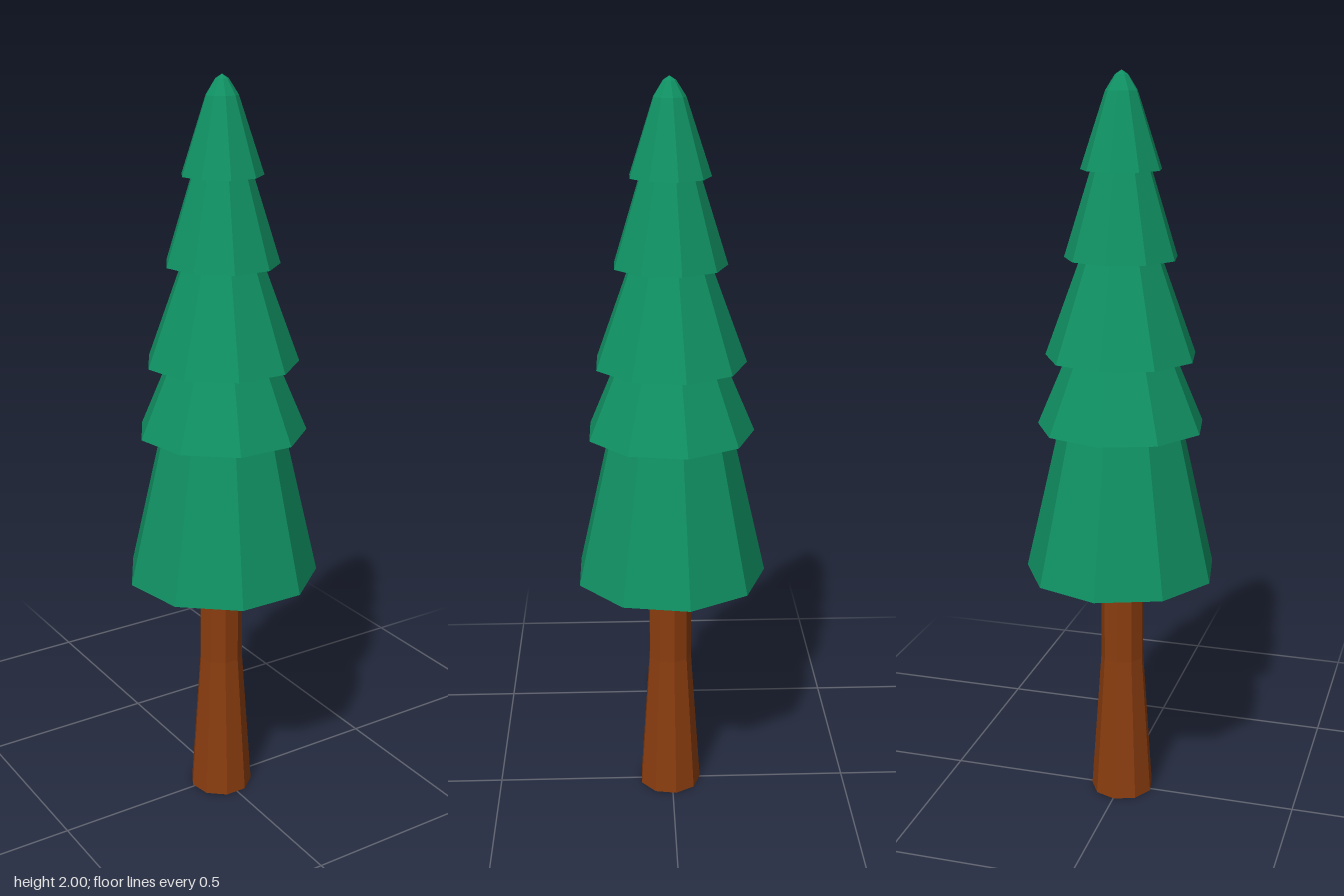
import * as THREE from 'three';

const SIDES = 9;

// Faceted solid of revolution with one corner pointing to the back
function facetedLathe(name, profile, material) {
  const points = profile.map(([r, y]) => new THREE.Vector2(r, y));
  const geometry = new THREE.LatheGeometry(points, SIDES, Math.PI).toNonIndexed();
  geometry.computeVertexNormals();
  const mesh = new THREE.Mesh(geometry, material);
  mesh.name = name;
  return mesh;
}

export function createModel() {
  const needles = new THREE.MeshStandardMaterial({ color: 0x109163 });
  needles.name = 'needle green';
  const bark = new THREE.MeshStandardMaterial({ color: 0x8a3d0f });
  bark.name = 'bark brown';

  const tree = new THREE.Group();
  tree.name = 'pineTree';

  // Flared trunk, running up into the hollow of the lowest tier
  const trunk = facetedLathe('trunk',
    [[0, 0], [0.088, 0], [0.06, 0.41], [0.06, 0.76]], bark);
  trunk.position.set(-0.003, 0, 0.006);
  tree.add(trunk);

  // Foliage tiers: [rim radius, rim height, top radius, top height]
  const tiers = [
    [0.263, 0.67, 0.168, 1.08],
    [0.227, 1.08, 0.146, 1.27],
    [0.204, 1.27, 0.108, 1.53],
    [0.151, 1.53, 0.08, 1.755],
    [0.107, 1.755, 0.042, 1.95],
  ];
  tiers.forEach(([rimR, rimY, topR, topY], i) => {
    // The lowest tier is recessed below; the others have a flat underside
    const below = i === 0
      ? [[0, 0.755], [0.197, 0.755]]
      : [[tiers[i - 1][2], rimY]];
    // The last tier closes in a rounded tip
    const tip = i === tiers.length - 1 ? [[0.017, 1.989], [0, 2]] : [];
    const tier = facetedLathe(`foliageTier${i + 1}`,
      [...below, [rimR, rimY], [topR, topY], ...tip], needles);
    tier.position.z = 0.006;
    tree.add(tier);
  });

  return tree;
}
